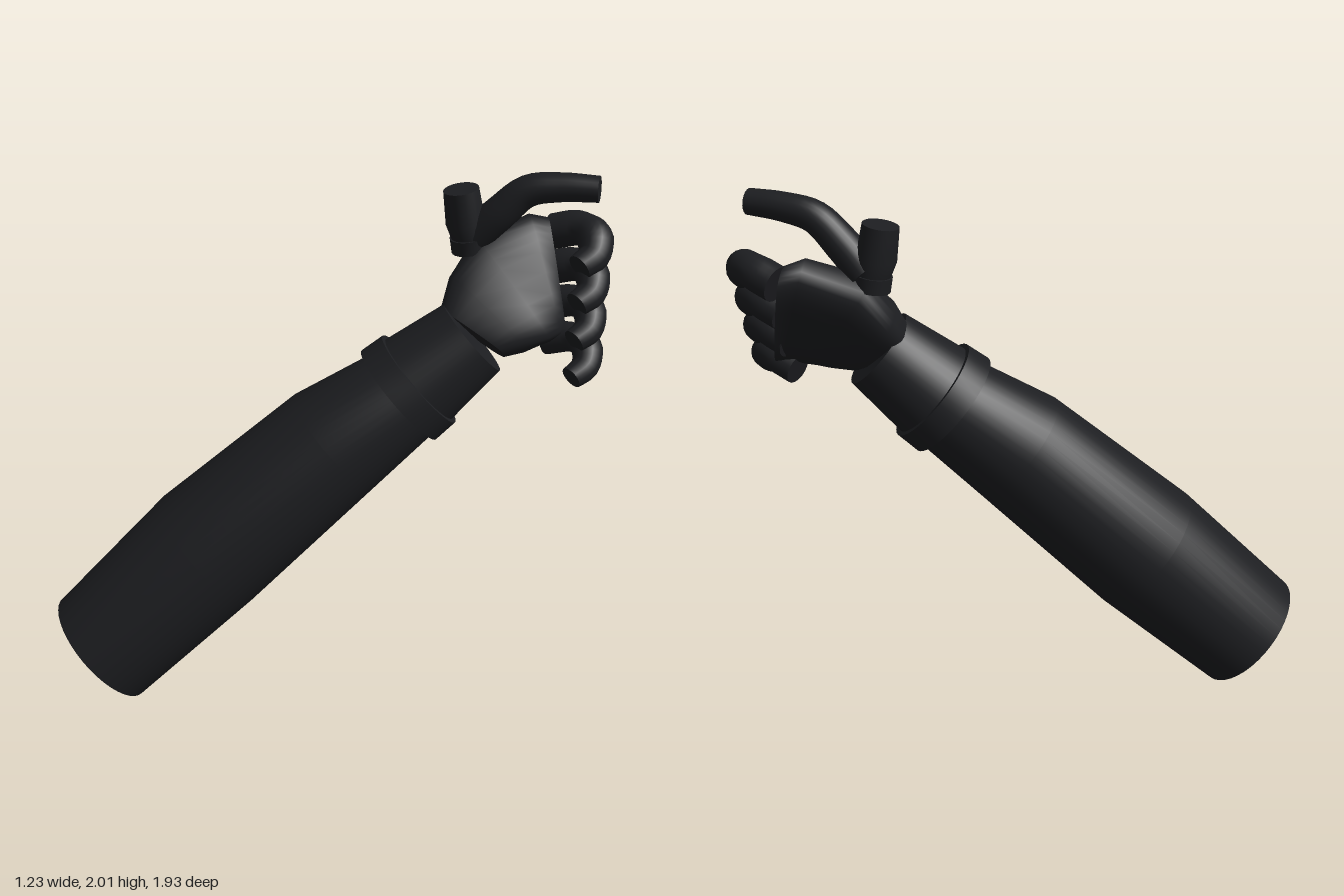
import * as THREE from 'three';

const V = (p) => new THREE.Vector3(...p);
const dark = new THREE.MeshStandardMaterial({ color: 0x1d1e21, side: THREE.DoubleSide });

// Skin a list of sections { c, u, v }; round < 1 makes the outline boxier
function loft(sections, { sides = 24, round = 1, capStart = true, capEnd = true } = {}) {
  const pos = [], idx = [];
  const soft = (t) => Math.sign(t) * Math.pow(Math.abs(t), round);
  const addRing = ({ c, u, v }) => {
    const start = pos.length / 3;
    for (let j = 0; j < sides; j++) {
      const a = (j / sides) * Math.PI * 2;
      const p = c.clone().addScaledVector(u, soft(Math.cos(a))).addScaledVector(v, soft(Math.sin(a)));
      pos.push(p.x, p.y, p.z);
    }
    return start;
  };
  const rings = sections.map(addRing);
  for (let i = 0; i < rings.length - 1; i++) {
    for (let j = 0; j < sides; j++) {
      const k = (j + 1) % sides;
      const [a, b, c, d] = [rings[i] + j, rings[i] + k, rings[i + 1] + k, rings[i + 1] + j];
      idx.push(a, b, c, a, c, d);
    }
  }
  // Flat caps have their own vertices so the rim stays sharp
  const cap = (section, flip) => {
    const start = addRing(section), mid = pos.length / 3;
    pos.push(section.c.x, section.c.y, section.c.z);
    for (let j = 0; j < sides; j++) {
      const a = start + j, b = start + ((j + 1) % sides);
      flip ? idx.push(mid, b, a) : idx.push(mid, a, b);
    }
  };
  if (capStart) cap(sections[0], true);
  if (capEnd) cap(sections[sections.length - 1], false);
  const g = new THREE.BufferGeometry();
  g.setAttribute('position', new THREE.Float32BufferAttribute(pos, 3));
  g.setIndex(idx);
  g.computeVertexNormals();
  return g;
}

// Round sections square to one fixed axis; rows are [x, y, z, radius]
function straight(rows, axis) {
  const t = V(axis).normalize();
  const u = new THREE.Vector3(1, 0, 0).addScaledVector(t, -t.x).normalize();
  const v = t.clone().cross(u);
  return rows.map(([x, y, z, r]) => ({
    c: V([x, y, z]), u: u.clone().multiplyScalar(r), v: v.clone().multiplyScalar(r),
  }));
}

// Round sections along a smooth curve, with radii blended between its ends
function bent(points, radii, steps = 20) {
  const curve = new THREE.CatmullRomCurve3(points.map(V), false, 'centripetal');
  const f = curve.computeFrenetFrames(steps);
  return f.normals.map((n, i) => {
    const s = (i / steps) * (radii.length - 1), k = Math.min(Math.floor(s), radii.length - 2);
    const r = THREE.MathUtils.lerp(radii[k], radii[k + 1], s - k);
    return {
      c: curve.getPointAt(i / steps),
      u: n.clone().multiplyScalar(r), v: f.binormals[i].clone().multiplyScalar(r),
    };
  });
}

export function createModel() {
  const model = new THREE.Group();
  model.name = 'forearmAndHand';
  const add = (name, geometry, parent = model) => {
    const mesh = new THREE.Mesh(geometry, dark);
    mesh.name = name;
    parent.add(mesh);
  };

  // Open-ended forearm sleeve
  const axis = [0.353, 0.658, -0.666];
  add('forearm', loft(straight([
    [-0.39, 0.165, 0.785, 0.24],
    [-0.21, 0.565, 0.4, 0.26],
    [0.025, 1.0, -0.025, 0.228],
    [0.15, 1.19, -0.25, 0.185],
  ], axis), { sides: 40, capStart: false, capEnd: false }));

  // Raised band and the cuff that closes at the wrist
  add('wristBand', loft(straight([
    [0.138, 1.178, -0.237, 0.214],
    [0.172, 1.238, -0.302, 0.208],
  ], axis), { sides: 40 }));
  add('cuff', loft(straight([
    [0.172, 1.238, -0.302, 0.19],
    [0.27, 1.4, -0.465, 0.158],
  ], axis), { sides: 40 }));

  const hand = new THREE.Group();
  hand.name = 'hand';
  model.add(hand);

  // Palm: thumb edge, little-finger edge, half thickness, direction
  const palm = [
    [[0.16, 1.48, -0.4], [0.37, 1.34, -0.54], 0.08, [0.15, 0.6, -0.78]],
    [[0.12, 1.58, -0.47], [0.41, 1.36, -0.6], 0.1, [0.15, 0.55, -0.8]],
    [[0.12, 1.71, -0.58], [0.43, 1.38, -0.7], 0.1, [0.3, 0.45, -0.8]],
    [[0.2, 1.79, -0.77], [0.42, 1.39, -0.76], 0.088, [0.45, 0.35, -0.8]],
    [[0.23, 1.77, -0.84], [0.4, 1.4, -0.8], 0.075, [0.5, 0.3, -0.8]],
  ].map(([a, b, t, d]) => {
    const u = V(a).sub(V(b)).multiplyScalar(0.5);
    return {
      c: V(a).add(V(b)).multiplyScalar(0.5), u,
      v: V(d).cross(u).normalize().multiplyScalar(t),
    };
  });
  add('palm', loft(palm, { sides: 32, round: 0.65 }), hand);

  // Four fingers stacked downward, curling round toward the palm side
  ['indexFinger', 'middleFinger', 'ringFinger', 'littleFinger'].forEach((name, i) => {
    const shift = ([x, y, z]) => [x + 0.035 * i, y - 0.123 * i, z + 0.034 * i];
    const path = [
      [0.25, 1.72, -0.85], [0.34, 1.75, -0.895], [0.42, 1.74, -0.895],
      [0.462, 1.69, -0.855], [0.462, 1.66, -0.79],
    ].map(shift);
    const r = 0.066 - 0.003 * i;
    add(name, loft(bent(path, [r, r, r * 0.93, r, r * 0.9, r * 0.75]), { sides: 18 }), hand);
  });

  // Thumb: collar, upright base joint and the long curved digit
  const thumb = new THREE.Group();
  thumb.name = 'thumb';
  hand.add(thumb);
  const up = [-0.08, 0.97, 0.14];
  add('thumbCollar', loft(straight([
    [0.14, 1.68, -0.545, 0.066], [0.138, 1.735, -0.54, 0.07],
  ], up)), thumb);
  add('thumbBase', loft(straight([
    [0.138, 1.735, -0.54, 0.064], [0.13, 1.79, -0.528, 0.072], [0.118, 1.912, -0.512, 0.065],
  ], up)), thumb);
  add('thumbDigit', loft(bent([
    [0.15, 1.74, -0.56], [0.22, 1.83, -0.61], [0.29, 1.92, -0.675],
    [0.38, 1.945, -0.75], [0.487, 1.951, -0.835],
  ], [0.066, 0.064, 0.058, 0.052, 0.047])), thumb);

  return model;
}
